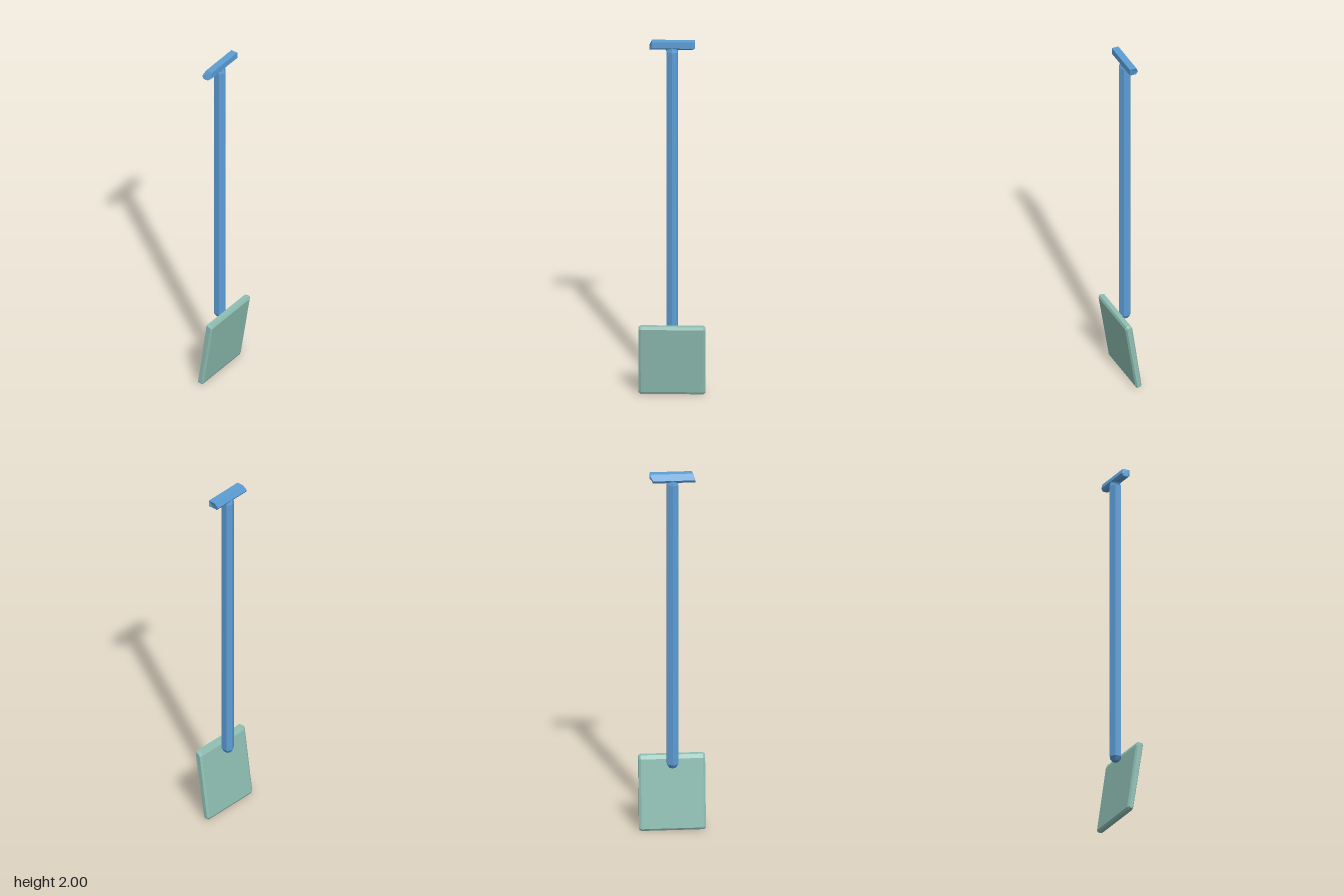
import * as THREE from 'three';

const blue = new THREE.MeshStandardMaterial({ color: 0x5c9dd5, flatShading: true });
blue.name = 'blue handle';
const green = new THREE.MeshStandardMaterial({ color: 0x8fbfb3, flatShading: true });
green.name = 'pale green blade';

// Sweeps a [z, y] outline along x, with chamfered ends
function sweepX(outline, halfLength, chamfer) {
  const shape = new THREE.Shape(outline.map(([z, y]) => new THREE.Vector2(-z, y)));
  const geo = new THREE.ExtrudeGeometry(shape, {
    depth: 2 * (halfLength - chamfer), bevelEnabled: chamfer > 0, bevelSegments: 1,
    bevelThickness: chamfer, bevelSize: chamfer * 0.6, bevelOffset: -chamfer * 0.6,
  });
  geo.translate(0, 0, chamfer - halfLength);
  return geo.rotateY(Math.PI / 2);
}

function add(group, name, geometry, material) {
  const mesh = new THREE.Mesh(geometry, material);
  mesh.name = name;
  group.add(mesh);
  return mesh;
}

export function createModel() {
  const group = new THREE.Group();
  group.name = 'spade';

  // Hexagonal shaft with tapered ends
  const shaft = add(group, 'shaft', new THREE.LatheGeometry([
    [0, 0.35], [0.019, 0.35], [0.034, 0.372], [0.034, 1.94], [0.026, 1.965], [0, 1.965],
  ].map(([r, y]) => new THREE.Vector2(r, y)), 6), blue);
  shaft.position.z = -0.021;

  // Flare where the shaft meets the grip
  const flare = add(group, 'collar', new THREE.CylinderGeometry(0.042, 0.03, 0.025, 6), blue);
  flare.scale.z = 0.65;
  flare.position.set(0, 1.947, -0.021);

  // Grip bar, its ends slanted by shifting the front and back edges apart
  const grip = sweepX([
    [0.005, 2], [0.005, 1.965], [-0.012, 1.952], [-0.038, 1.952], [-0.048, 1.967], [-0.033, 2],
  ], 0.12, 0);
  const p = grip.attributes.position;
  for (let i = 0; i < p.count; i++) {
    const front = p.getZ(i) > 0 || p.getY(i) > 1.99;
    const right = p.getX(i) > 0;
    p.setX(i, front ? (right ? 0.12 : -0.105) : (right ? 0.105 : -0.12));
  }
  grip.computeVertexNormals();
  add(group, 'grip', grip, blue);

  // Tilted flat blade with chamfered edges
  add(group, 'blade', sweepX([
    [0.048, 0.405], [0.022, 0.405], [0.012, 0.385], [-0.041, 0.014],
    [-0.034, 0.002], [-0.012, 0.002], [-0.005, 0.016], [0.054, 0.39],
  ], 0.176, 0.012), green);

  // Rest the blade edge on the ground
  group.updateMatrixWorld(true);
  const minY = new THREE.Box3().setFromObject(group).min.y;
  group.children.forEach((m) => { m.position.y -= minY; });
  return group;
}
